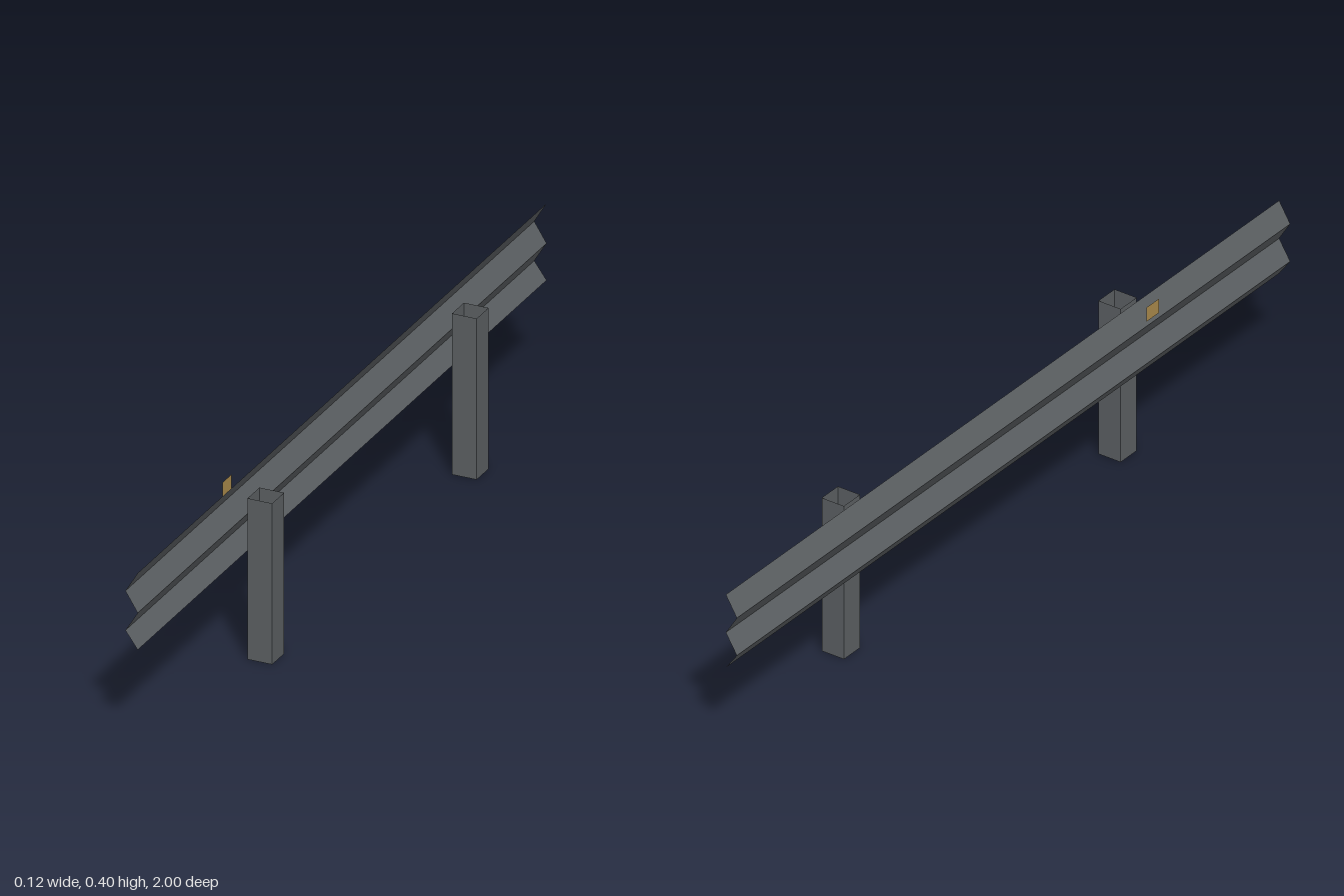
import * as THREE from 'three';

export function createModel() {
  const metal = new THREE.MeshStandardMaterial({ color: 0x5a5e61, side: THREE.DoubleSide, flatShading: true });
  metal.name = 'galvanised grey';
  const amber = new THREE.MeshStandardMaterial({ color: 0xa8884a, side: THREE.DoubleSide });
  amber.name = 'reflector amber';

  const model = new THREE.Group();
  model.name = 'guardRail';

  const add = (name, geometry, material, x, y, z) => {
    const mesh = new THREE.Mesh(geometry, material);
    mesh.name = name;
    mesh.position.set(x, y, z);
    model.add(mesh);
    return mesh;
  };

  // Folded sheet rail: one long strip per fold of the zigzag profile [x, y]
  const profile = [[-0.03, 0.402], [-0.059, 0.354], [-0.03, 0.308], [-0.059, 0.261], [-0.03, 0.221]];
  const positions = [];
  const index = [];
  for (let i = 0; i < profile.length - 1; i++) {
    const [a, b] = [profile[i], profile[i + 1]];
    positions.push(...a, -1, ...a, 1, ...b, 1, ...b, -1);
    const k = i * 4;
    // outward side faces -x
    index.push(k, k + 2, k + 1, k, k + 3, k + 2);
  }
  const sheet = new THREE.BufferGeometry();
  sheet.setAttribute('position', new THREE.Float32BufferAttribute(positions, 3));
  sheet.setIndex(index);
  sheet.computeVertexNormals();
  add('rail', sheet, metal, 0, 0, 0);

  // Hollow square posts, open at top and bottom
  const side = 0.058;
  const height = 0.38;
  const tube = new THREE.CylinderGeometry(side / Math.SQRT2, side / Math.SQRT2, height, 4, 1, true)
    .rotateY(Math.PI / 4).toNonIndexed();
  tube.computeVertexNormals();
  for (const [name, z] of [['frontPost', 0.5], ['rearPost', -0.5]]) {
    add(name, tube, metal, 0.031, height / 2, z);
  }

  // Small reflector on the road side of the rail
  const plate = new THREE.PlaneGeometry(0.044, 0.035).rotateY(-Math.PI / 2);
  add('reflector', plate, amber, -0.06, 0.384, 0.502);

  return model;
}
